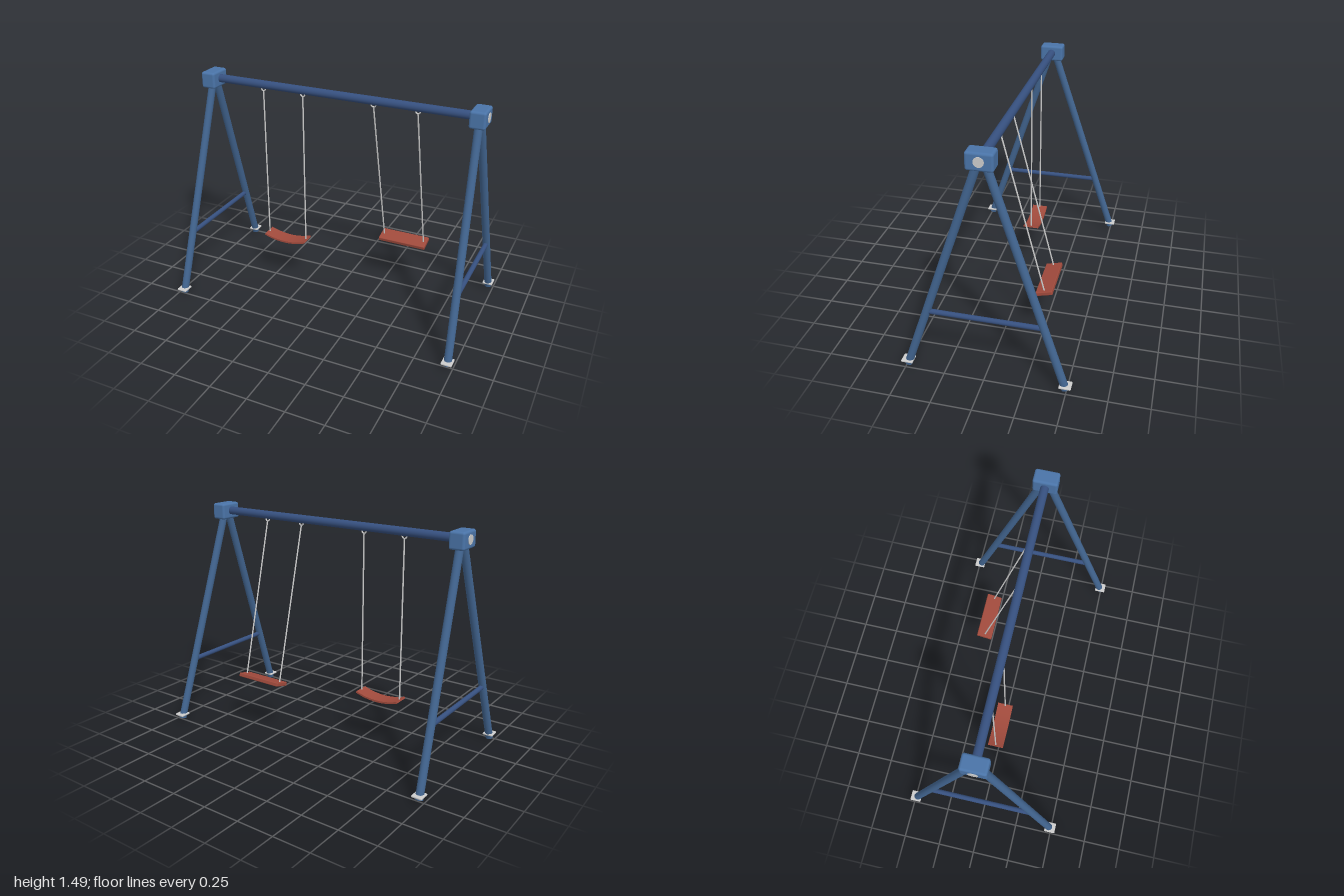
import * as THREE from 'three';
import { RoundedBoxGeometry } from 'three/addons/geometries/RoundedBoxGeometry.js';

const paint = (color) => new THREE.MeshStandardMaterial({ color });
const legBlue = paint(0x41648f);
const beamBlue = paint(0x36507f);
const bracketBlue = paint(0x4a74a8);
const red = paint(0xa04a3c);
const grey = paint(0xcccccc);

const BEAM_Y = 1.443;
const PIVOT_Y = 1.415;

function add(parent, name, geometry, material, x = 0, y = 0, z = 0) {
  const mesh = new THREE.Mesh(geometry, material);
  mesh.name = name;
  mesh.position.set(x, y, z);
  parent.add(mesh);
  return mesh;
}

// Round bar between two points
function bar(parent, name, a, b, radius, material, sides = 24) {
  const from = new THREE.Vector3(...a);
  const dir = new THREE.Vector3(...b).sub(from);
  const length = dir.length();
  const mesh = add(parent, name, new THREE.CylinderGeometry(radius, radius, length, sides), material);
  mesh.position.copy(from).addScaledVector(dir, 0.5);
  mesh.quaternion.setFromUnitVectors(new THREE.Vector3(0, 1, 0), dir.normalize());
  return mesh;
}

// One A-frame; side is +1 or -1 along x
function endFrame(side) {
  const frame = new THREE.Group();
  frame.name = side > 0 ? 'leftEndFrame' : 'rightEndFrame';
  add(frame, 'bracket', new RoundedBoxGeometry(0.1, 0.108, 0.16, 4, 0.015), bracketBlue, side * 0.914, 1.44, 0);
  bar(frame, 'beamCap', [side * 0.94, BEAM_Y, 0], [side * 0.968, BEAM_Y, 0], 0.03, grey);
  for (const front of [1, -1]) {
    bar(frame, 'leg', [side * 0.963, 0.008, front * 0.492], [side * 0.913, 1.43, front * 0.017], 0.025, legBlue);
    add(frame, 'footPlate', new RoundedBoxGeometry(0.07, 0.014, 0.075, 3, 0.006), grey,
      side * 0.963, 0.036, front * 0.492);
  }
  bar(frame, 'crossBar', [side * 0.949, 0.42, 0.355], [side * 0.949, 0.42, -0.355], 0.016, beamBlue, 20);
  return frame;
}

// Swing hung from its pivot: ropes and rings, with the seat added by the caller
function swing(name, x, ropeLength, tilt) {
  const group = new THREE.Group();
  group.name = name;
  group.position.set(x, PIVOT_Y, 0);
  group.rotation.x = tilt;
  for (const side of [-1, 1]) {
    add(group, 'hangerRing', new THREE.TorusGeometry(0.015, 0.0045, 10, 24), grey, side * 0.1445, 0, 0);
    bar(group, 'rope', [side * 0.1445, -0.012, 0], [side * 0.1445, -ropeLength, 0], 0.005, grey, 10);
  }
  return group;
}

// Sagging strap seat: an arc band extruded along z
function strapSeatGeometry() {
  const radius = 0.443, half = 0.357, t = 0.006, depth = 0.106;
  const bottom = -Math.PI / 2;
  const shape = new THREE.Shape();
  shape.absarc(0, radius, radius + t, bottom - half, bottom + half, false);
  shape.absarc(0, radius, radius - t, bottom + half, bottom - half, true);
  shape.closePath();
  const geometry = new THREE.ExtrudeGeometry(shape, { depth, bevelEnabled: false, curveSegments: 24 });
  return geometry.translate(0, 0, -depth / 2);
}

export function createModel() {
  const model = new THREE.Group();
  model.name = 'swingSet';

  // Frame
  bar(model, 'topBeam', [-0.94, BEAM_Y, 0], [0.94, BEAM_Y, 0], 0.027, beamBlue);
  model.add(endFrame(1), endFrame(-1));

  // Strap swing at rest
  const strapSwing = swing('strapSwing', -0.391, 1.068, 0);
  add(strapSwing, 'strapSeat', strapSeatGeometry(), red, 0, 0.32 - PIVOT_Y, 0);
  model.add(strapSwing);

  // Flat swing pushed backwards
  const flatSwing = swing('flatSwing', 0.387, 1.072, 0.25);
  add(flatSwing, 'flatSeat', new RoundedBoxGeometry(0.336, 0.026, 0.108, 3, 0.005), red, 0, -1.084, 0);
  model.add(flatSwing);

  return model;
}
